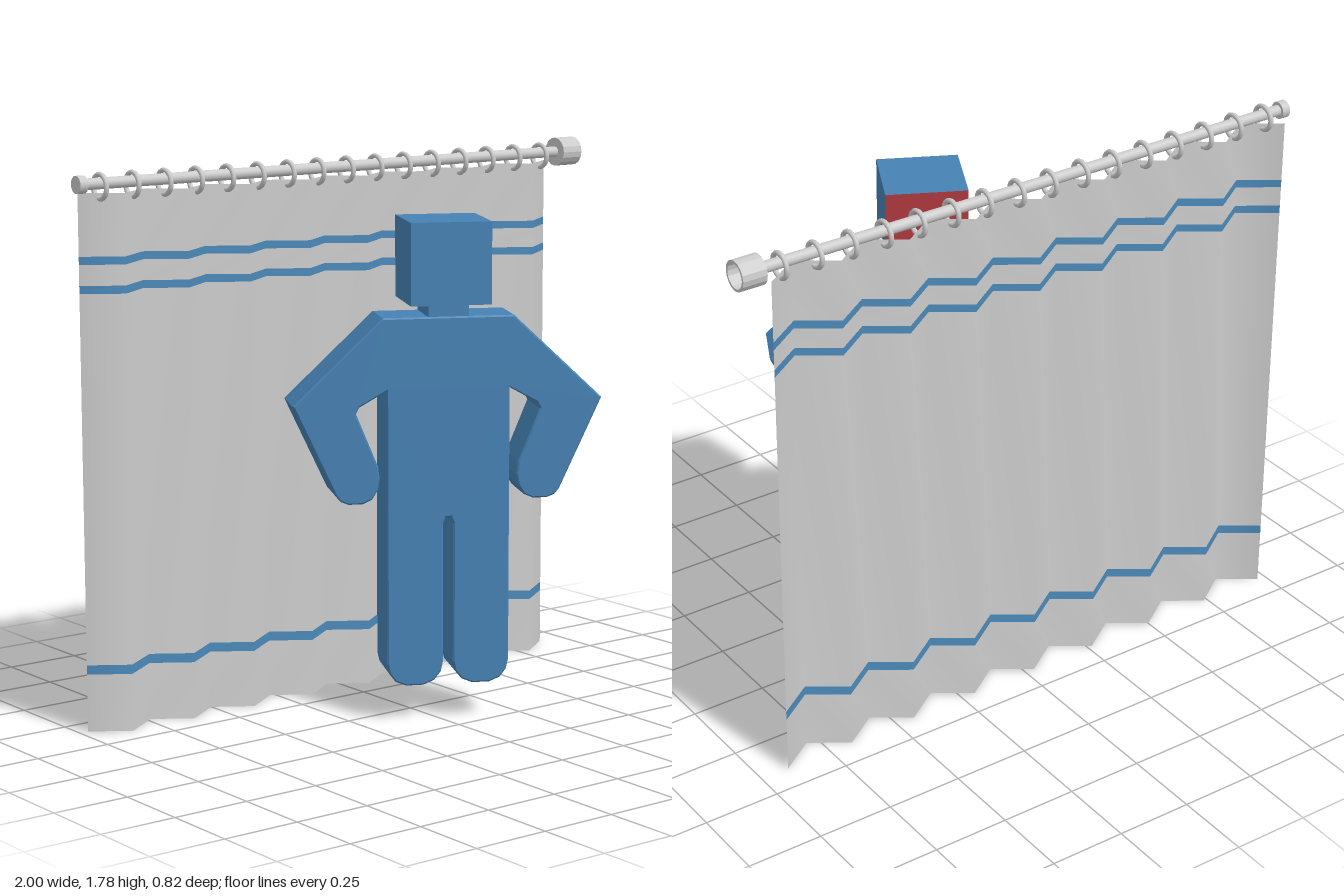
import * as THREE from 'three';

const grey = new THREE.MeshStandardMaterial({ color: 0xcccccc });
const greyFlat = new THREE.MeshStandardMaterial({ color: 0xcccccc, flatShading: true });
const greyCloth = new THREE.MeshStandardMaterial({ color: 0xcccccc, side: THREE.DoubleSide });
const blueCloth = new THREE.MeshStandardMaterial({ color: 0x4a88b8, side: THREE.DoubleSide });
const blue = new THREE.MeshStandardMaterial({ color: 0x4682b4 });
const red = new THREE.MeshStandardMaterial({ color: 0xb03a40 });

const ROD_Y = 1.73, ROD_Z = -0.37;

function add(parent, name, geometry, material, x = 0, y = 0, z = 0) {
  const mesh = new THREE.Mesh(geometry, material);
  mesh.name = name;
  mesh.position.set(x, y, z);
  parent.add(mesh);
  return mesh;
}

// One horizontal band of the pleated curtain
function curtainBand(y0, y1) {
  const x0 = -0.97, x1 = 0.905, folds = 16;
  const geo = new THREE.PlaneGeometry(x1 - x0, y1 - y0, folds, 1);
  geo.translate((x0 + x1) / 2, (y0 + y1) / 2, 0);
  const pos = geo.attributes.position;
  for (let i = 0; i < pos.count; i++) {
    pos.setZ(i, (i % (folds + 1)) % 2 ? -0.33 : -0.41);
  }
  geo.computeVertexNormals();
  return geo;
}

// Curtain with coloured stripes
function createCurtain() {
  const curtain = new THREE.Group();
  curtain.name = 'curtain';
  const levels = [0, 0.185, 0.215, 1.39, 1.415, 1.48, 1.505, 1.7];
  for (let i = 0; i < levels.length - 1; i++) {
    const stripe = i % 2 === 1;
    add(curtain, stripe ? 'curtainStripe' : 'curtainPanel',
      curtainBand(levels[i], levels[i + 1]), stripe ? blueCloth : greyCloth);
  }
  return curtain;
}

// Rod with end pieces and hanging rings
function createRail() {
  const rail = new THREE.Group();
  rail.name = 'curtainRail';
  const rod = add(rail, 'rod', new THREE.CylinderGeometry(0.018, 0.018, 1.94, 16), grey, -0.01, ROD_Y, ROD_Z);
  rod.rotation.z = Math.PI / 2;
  const knob = add(rail, 'rodEndKnob', new THREE.CylinderGeometry(0.028, 0.028, 0.028, 16), grey, -0.986, ROD_Y, ROD_Z);
  knob.rotation.z = Math.PI / 2;

  // Hollow cup on the far end
  const cupProfile = [[0, -0.04], [0.048, -0.04], [0.048, 0.04], [0.04, 0.04], [0.04, -0.015], [0, -0.015]]
    .map(([r, y]) => new THREE.Vector2(r, y));
  const cup = add(rail, 'rodEndCup', new THREE.LatheGeometry(cupProfile, 16), greyFlat, 0.96, ROD_Y, ROD_Z);
  cup.rotation.z = -Math.PI / 2;

  for (let i = 0; i < 16; i++) {
    const ring = add(rail, 'ring', new THREE.TorusGeometry(0.038, 0.008, 8, 20), grey,
      -0.914 + i * 0.1177, 1.72, ROD_Z);
    ring.rotation.y = Math.PI / 2;
  }
  return rail;
}

// Flat standing figure with hands on hips
function createFigure() {
  const figure = new THREE.Group();
  figure.name = 'figure';

  // Half outline: shoulder, elbow, hand, armpit, flank, foot, leg gap
  const half = [
    [0.21, 1.3], [0.495, 1.03], [0.36, 0.74], [0.345, 0.722], [0.32, 0.712], [0.275, 0.712],
    [0.245, 0.725], [0.226, 0.755], [0.22, 0.79], [0.225, 0.83], [0.295, 1.0], [0.285, 1.02], [0.197, 1.07],
    [0.197, 0.19], [0.19, 0.158], [0.17, 0.131], [0.135, 0.117], [0.08, 0.117], [0.045, 0.131],
    [0.023, 0.158], [0.016, 0.19], [0.016, 0.64], [0.008, 0.66],
  ];
  const outline = [...half, ...half.map(([x, y]) => [-x, y]).reverse()];
  const shape = new THREE.Shape(outline.map(([x, y]) => new THREE.Vector2(x, y)));
  const bevel = 0.005, depth = 0.18;
  const bodyGeo = new THREE.ExtrudeGeometry(shape, {
    depth: depth - 2 * bevel, bevelEnabled: true, bevelSize: bevel,
    bevelThickness: bevel, bevelOffset: -bevel, bevelSegments: 1,
  });
  bodyGeo.translate(0, 0, -depth / 2 + bevel);
  add(figure, 'body', bodyGeo, blue);

  add(figure, 'neck', new THREE.BoxGeometry(0.13, 0.06, 0.17), blue, 0, 1.32, 0);

  // Head, with the coloured face on its rear side
  const headMaterials = [blue, blue, blue, blue, blue, red];
  add(figure, 'head', new THREE.BoxGeometry(0.257, 0.26, 0.257), headMaterials, 0, 1.47, 0);

  figure.position.set(0.0525, 0, 0.1);
  figure.rotation.y = -0.471;
  return figure;
}

export function createModel() {
  const model = new THREE.Group();
  model.name = 'figureWithCurtain';
  model.add(createCurtain(), createRail(), createFigure());
  return model;
}
